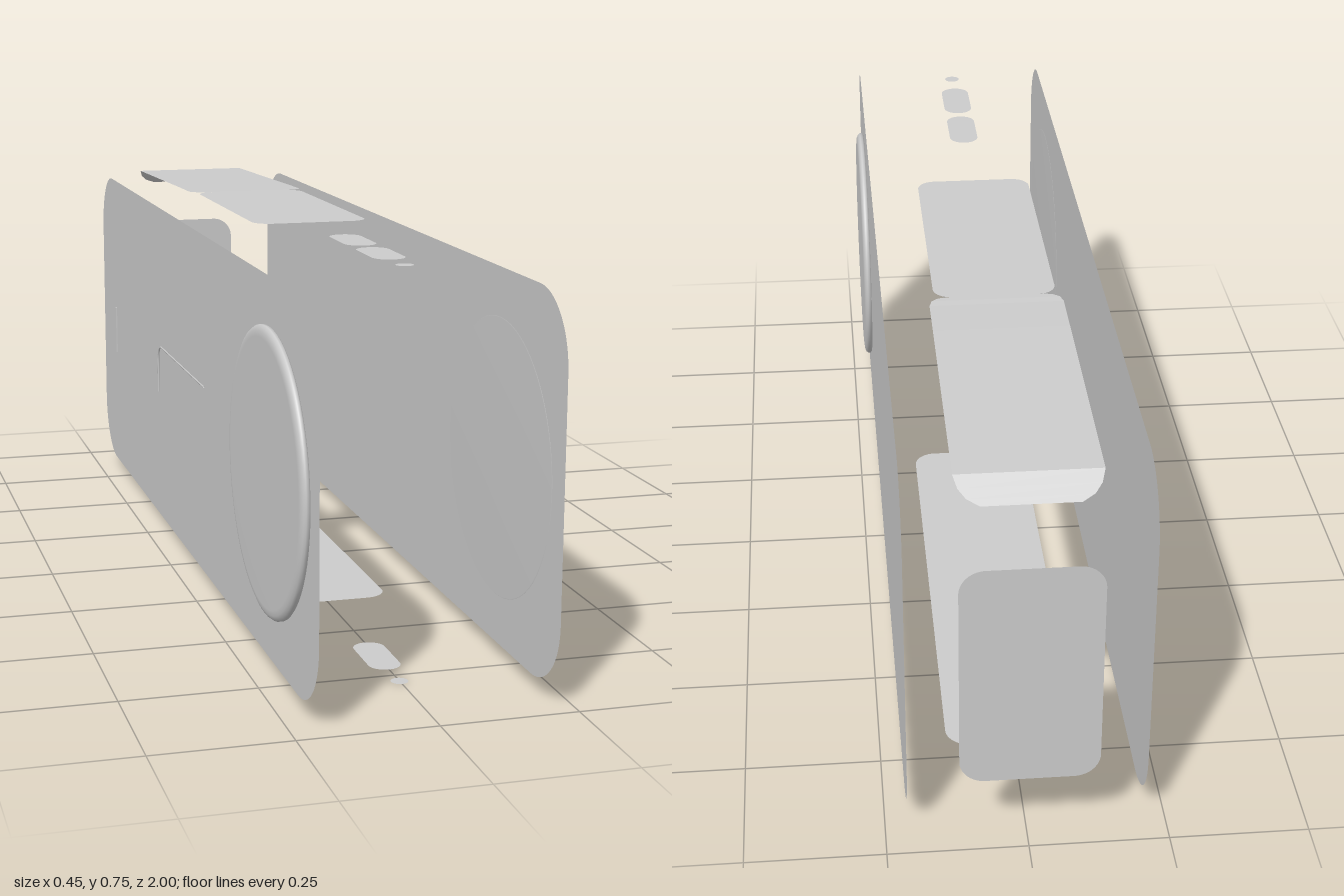
import * as THREE from 'three';
import { mergeGeometries } from 'three/addons/utils/BufferGeometryUtils.js';

const thin = new THREE.MeshStandardMaterial({ color: 0xcccccc, side: THREE.DoubleSide });
const folded = new THREE.MeshStandardMaterial({ color: 0xcccccc, side: THREE.DoubleSide, flatShading: true });
const SIDE = 0.211;

// Flat rounded rectangle centred on the origin, facing +z
function roundedPanel(w, h, r) {
  const s = new THREE.Shape();
  const x = w / 2, y = h / 2;
  s.absarc(x - r, y - r, r, 0, Math.PI / 2);
  s.absarc(r - x, y - r, r, Math.PI / 2, Math.PI);
  s.absarc(r - x, r - y, r, Math.PI, Math.PI * 1.5);
  s.absarc(x - r, r - y, r, Math.PI * 1.5, Math.PI * 2);
  return new THREE.ShapeGeometry(s, 10);
}

export function createModel() {
  const model = new THREE.Group();
  const add = (name, geometry, x, y, z, material = thin) => {
    const mesh = new THREE.Mesh(geometry, material);
    mesh.name = name;
    mesh.position.set(x, y, z);
    model.add(mesh);
    return mesh;
  };
  // Horizontal plate between two z values, facing up or down
  const plate = (name, halfWidth, z0, z1, r, y, up = true) =>
    add(name, roundedPanel(halfWidth * 2, z1 - z0, r).rotateX(up ? -Math.PI / 2 : Math.PI / 2), 0, y, (z0 + z1) / 2);

  // Side panels with raised round discs
  const discProfile = [[0, 0], [0.255, 0], [0.26, 0.004], [0.26, 0.009], [0.257, 0.013],
    [0.25, 0.016], [0.24, 0.017], [0.1, 0.017], [0, 0.017]].map(p => new THREE.Vector2(...p));
  for (const s of [-1, 1]) {
    const label = s > 0 ? 'left' : 'right';
    add(label + 'SidePanel', roundedPanel(1.97, 0.692, 0.13).rotateY(s * Math.PI / 2), s * SIDE, 0.373, 0.015);
    add(label + 'Disc', new THREE.LatheGeometry(discProfile, 64).rotateZ(-s * Math.PI / 2), s * (SIDE - 0.001), 0.373, 0.69, thin);
  }

  // Back panel and base plate
  add('backPanel', roundedPanel(0.244, 0.438, 0.045).rotateY(Math.PI), 0, 0.372, -1);
  plate('basePlate', 0.125, -0.72, 0.325, 0.045, 0.003, false);

  // Front top plate, buttons and indicator dots
  plate('topPlate', 0.115, -0.325, 0.205, 0.035, 0.742);
  plate('frontButton', 0.03, 0.57, 0.72, 0.0299, 0.745);
  plate('rearButton', 0.03, 0.4, 0.55, 0.0299, 0.745);
  plate('bottomButton', 0.03, 0.57, 0.72, 0.0299, 0, false);
  add('topDot', new THREE.CircleGeometry(0.016, 20).rotateX(-Math.PI / 2), 0, 0.745, 0.78);
  add('bottomDot', new THREE.CircleGeometry(0.016, 20).rotateX(Math.PI / 2), 0, 0, 0.78);

  // Rear top cover: rows of z, y and half width, folded down at the back
  const rows = [[-0.325, 0.742, 0.095], [-0.328, 0.742, 0.108], [-0.338, 0.742, 0.12], [-0.355, 0.741, 0.125],
    [-0.45, 0.739, 0.125], [-0.92, 0.727, 0.125], [-0.94, 0.712, 0.118], [-0.955, 0.701, 0.105], [-0.966, 0.693, 0.083]];
  const pos = [], index = [];
  rows.forEach(([z, y, w], i) => {
    pos.push(-w, y, z, w, y, z);
    if (i) {
      const a = 2 * i - 2;
      index.push(a, a + 1, a + 3, a, a + 3, a + 2);
    }
  });
  const cover = new THREE.BufferGeometry();
  cover.setAttribute('position', new THREE.Float32BufferAttribute(pos, 3));
  cover.setIndex(index);
  cover.computeVertexNormals();
  add('rearTopCover', cover, 0, 0, 0, folded);

  // Ball in the middle
  add('centreBall', new THREE.SphereGeometry(0.047, 40, 24), 0, 0.373, 0);

  // Small marks on the left panel
  const mark = (name, s, r, y, z) =>
    add(name, new THREE.CircleGeometry(r, 16).rotateY(s * Math.PI / 2), s * (SIDE + 0.002), y, z);
  mark('leftDot', 1, 0.011, 0.375, 0.405);
  mark('leftUpperPinhole', 1, 0.005, 0.43, -0.945);
  mark('leftLowerPinhole', 1, 0.005, 0.33, -0.945);

  // Trim lines and pinhole on the right panel
  mark('rightPinhole', -1, 0.005, 0.298, -0.08);
  const trimX = -SIDE - 0.002;
  const trim = new THREE.CurvePath();
  const at = (y, z) => new THREE.Vector3(trimX, y, z);
  trim.add(new THREE.LineCurve3(at(0.415, 0.165), at(0.415, -0.25)));
  trim.add(new THREE.QuadraticBezierCurve3(at(0.415, -0.25), at(0.415, -0.288), at(0.377, -0.288)));
  trim.add(new THREE.LineCurve3(at(0.377, -0.288), at(0.31, -0.288)));
  add('cornerTrim', new THREE.TubeGeometry(trim, 60, 0.002, 6), 0, 0, 0);
  add('rearSlot', new THREE.BoxGeometry(0.003, 0.11, 0.005), trimX, 0.355, -0.8);

  // Speaker grille: dots filling a tall hexagon
  const dots = [];
  for (let i = -6; i <= 6; i++) {
    for (let j = -8; j <= 8; j++) {
      const z = i * 0.0145, y = (j + (i % 2 ? 0.5 : 0)) * 0.0165;
      if (Math.abs(y) > 0.137 - 0.5 * Math.abs(z)) continue;
      dots.push(new THREE.CircleGeometry(0.005, 8).rotateY(-Math.PI / 2).translate(0, y, z));
    }
  }
  add('speakerGrille', mergeGeometries(dots), -SIDE - 0.002, 0.362, 0.289);

  return model;
}
